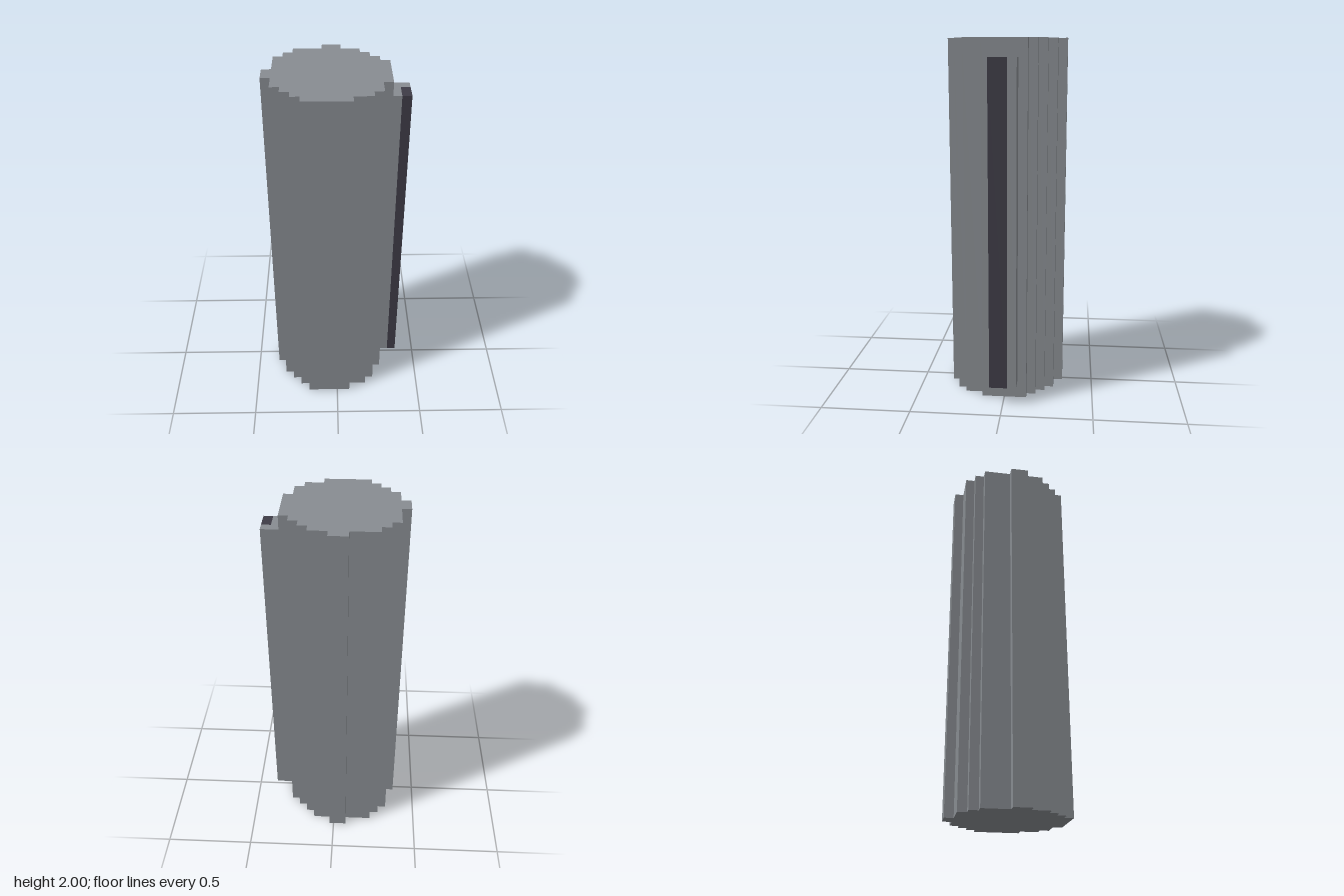
import * as THREE from 'three';

const STEP = 0.05; // size of one stair step in the outline

// Upright prism from a stepped outline: runs alternate between x and z, in steps
function steppedPrism(x, z, runs, y0, y1) {
  const points = runs.map((run, i) => {
    if (i % 2 === 0) x += run * STEP;
    else z += run * STEP;
    return new THREE.Vector2(x, -z);
  });
  const geometry = new THREE.ExtrudeGeometry(new THREE.Shape(points), {
    depth: y1 - y0, bevelEnabled: false,
  });
  return geometry.rotateX(-Math.PI / 2).translate(0, y0, 0);
}

export function createModel() {
  const model = new THREE.Group();
  model.name = 'steppedColumn';

  const grey = new THREE.MeshStandardMaterial({ color: 0x888c91 });
  grey.name = 'stoneGrey';
  const dark = new THREE.MeshStandardMaterial({ color: 0x3e3c46 });
  dark.name = 'darkSlate';

  const add = (name, geometry, material) => {
    const mesh = new THREE.Mesh(geometry, material);
    mesh.name = name;
    model.add(mesh);
  };

  // Main column: an uneven, blocky round outline
  add('column', steppedPrism(-0.075, -0.325, [
    2, 1, 2, 1, 1, 1, 1, 1, 1, 5, // back right
    -1, 2, -1, 1, -2, 1, // front right
    -5, -1, -1, -1, -1, -1, -1, -2, -1, -2, // front left
    1, -3, 1, -1, 1, -1, 3, -1, // back left
  ], 0, 2), grey);

  // Side rail: L-shaped, leaving a corner for the dark strip
  add('sideRail', steppedPrism(0.275, -0.075, [2, 1, -1, 2, -1, -3], 0.1, 1.9), grey);

  // Dark strip in the outer front corner of the rail
  add('darkStrip', steppedPrism(0.325, -0.025, [1, 2, -1, -2], 0.1, 1.9), dark);

  return model;
}
